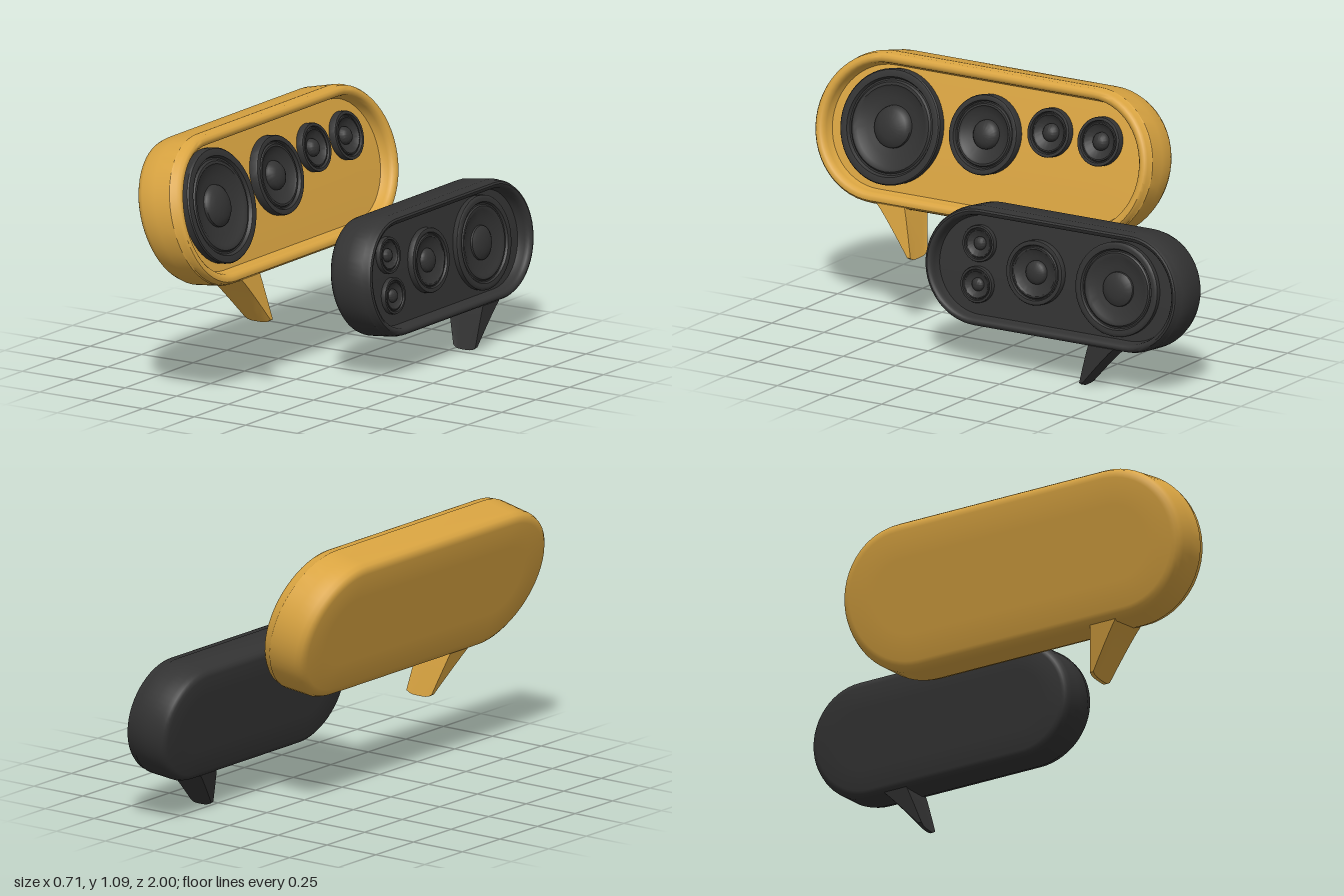
import * as THREE from 'three';
import { toCreasedNormals } from 'three/addons/utils/BufferGeometryUtils.js';

const mix = THREE.MathUtils.lerp;

// Speaker profile: [radius fraction, height fraction], flange to dust cap
const DRIVER = [[1, 0], [1, 0.8], [0.98, 0.95], [0.93, 1], [0.86, 0.95], [0.83, 0.6], [0.8, 0.6],
  [0.77, 0.8], [0.72, 0.8], [0.68, 0.62], [0.5, 0.3], [0.37, 0.12], [0.36, 0.4], [0.3, 0.72],
  [0.2, 0.95], [0.1, 1.06], [0, 1.1]];

// Shell profile: [inset, depth], back centre round the wall to the recessed floor
const SHELL = [[1, 0], [0.5, 0], [0.13, 0], [0.07, 0.02], [0.025, 0.07], [0, 0.17], [0, 0.45], [0, 0.8],
  [0.012, 0.82], [0.022, 0.93], [0.05, 0.985], [0.085, 1], [0.12, 0.985], [0.15, 0.94], [0.16, 0.86],
  [0.165, 0.78], [0.185, 0.7], [0.4, 0.7], [0.7, 0.7], [1, 0.7]];

const TILTED = {
  large: {
    back: [[-0.175, 0.475], [-0.365, 1.055]], front: [[0.005, 0.493], [-0.152, 1.103]], bow: 0.012,
    radius: 0.31, half: 0.49, z: 0.2, y: 0.787, inset: 1, rise: 0.034,
    drivers: [[0.651, 0.795, 0.236], [0.21, 0.83, 0.163], [-0.09, 0.883, 0.1], [-0.33, 0.883, 0.1]],
    tail: { top: [-0.168, 0.003, 0.52, 0.655], tip: [-0.095, 0.034, 0.472, 0.488], y: [0.505, 0.292] },
  },
  small: {
    back: [[0.185, 0.16], [0.095, 0.642]], front: [[0.36, 0.177], [0.302, 0.67]], bow: 0.008,
    radius: 0.25, half: 0.36, z: -0.39, y: 0.417, inset: 0.95, rise: 0.024,
    drivers: [[-0.683, 0.419, 0.196], [-0.29, 0.428, 0.135], [-0.012, 0.507, 0.076], [-0.016, 0.336, 0.076]],
    tail: { top: [0.19, 0.358, -0.705, -0.585], tip: [0.245, 0.352, -0.553, -0.538], y: [0.185, 0.004] },
  },
};

// Lean and bow: local (depth 0..1, height, z) becomes the tilted bubble
function lean(geo, s) {
  const p = geo.attributes.position;
  for (let i = 0; i < p.count; i++) {
    const t = p.getX(i);
    const k = (p.getY(i) / s.radius + 1) / 2;
    const fx = mix(s.front[0][0], s.front[1][0], k) + s.bow * 4 * k * (1 - k);
    p.setXY(i,
      mix(mix(s.back[0][0], s.back[1][0], k), fx, t),
      mix(mix(s.back[0][1], s.back[1][1], k), mix(s.front[0][1], s.front[1][1], k), t));
  }
  return toCreasedNormals(geo, 0.65);
}

// Pill-shaped rings joined along the shell profile
function shellGeometry(s) {
  const ARC = 28, n = 2 * (ARC + 1), pos = [], idx = [];
  SHELL.forEach(([inset, t]) => {
    const r = s.radius * (1 - (inset < 0.3 ? inset * s.inset : inset));
    for (let j = 0; j < n; j++) {
      const end = j > ARC ? 1 : 0;
      const a = -Math.PI / 2 + Math.PI * ((j - end * (ARC + 1)) / ARC + end);
      pos.push(t, r * Math.sin(a), s.z + (end ? -s.half : s.half) + r * Math.cos(a));
    }
  });
  for (let i = 0; i < SHELL.length - 1; i++) {
    for (let j = 0; j < n; j++) {
      const a = i * n + j, b = i * n + (j + 1) % n;
      idx.push(a, a + n, b, b, a + n, b + n);
    }
  }
  const geo = new THREE.BufferGeometry();
  geo.setAttribute('position', new THREE.Float32BufferAttribute(pos, 3));
  geo.setIndex(idx);
  return lean(geo, s);
}

function driverGeometry(s, [z, y, r]) {
  const rise = s.rise * (r < 0.11 ? 0.8 : 1);
  const geo = new THREE.LatheGeometry(
    DRIVER.map(([a, h]) => new THREE.Vector2(a * r, h * rise / 0.19)), 48);
  geo.rotateZ(-Math.PI / 2);
  geo.translate(0.7, y - s.y, z);
  return lean(geo, s);
}

// Pointed speech-bubble tail: a box narrowed towards its tip
function tailGeometry({ top, tip, y }) {
  const geo = new THREE.BoxGeometry(1, 1, 1, 8, 8, 1);
  const p = geo.attributes.position;
  for (let i = 0; i < p.count; i++) {
    const k = 0.5 - p.getY(i), u = p.getX(i) + 0.5, w = p.getZ(i) + 0.5;
    const q = Math.pow(k, 0.93);
    const round = 0.014 * k * Math.pow(Math.abs(2 * u - 1), 4);
    p.setXYZ(i,
      mix(mix(top[0], tip[0], k), mix(top[1], tip[1], k), u),
      mix(y[0], y[1], k) + round,
      mix(mix(top[2], tip[2], q), mix(top[3], tip[3], q), w));
  }
  return toCreasedNormals(geo, 0.6);
}

function makeBubble(name, s, shellMat, driverMat) {
  const group = new THREE.Group();
  group.name = name;
  const add = (part, geo, mat) => {
    const mesh = new THREE.Mesh(geo, mat);
    mesh.name = part;
    group.add(mesh);
  };
  add('cabinet', shellGeometry(s), shellMat);
  add('tail', tailGeometry(s.tail), shellMat);
  s.drivers.forEach((d, i) => add(['woofer', 'midrange', 'tweeterA', 'tweeterB'][i], driverGeometry(s, d), driverMat));
  return group;
}

export function createModel() {
  const gold = new THREE.MeshStandardMaterial({ color: 0xd9a441 });
  gold.name = 'gold';
  const charcoal = new THREE.MeshStandardMaterial({ color: 0x333333 });
  charcoal.name = 'charcoal';

  const model = new THREE.Group();
  model.name = 'speechBubbleSpeakers';
  model.add(makeBubble('largeBubble', TILTED.large, gold, charcoal));
  model.add(makeBubble('smallBubble', TILTED.small, charcoal, charcoal));
  return model;
}
